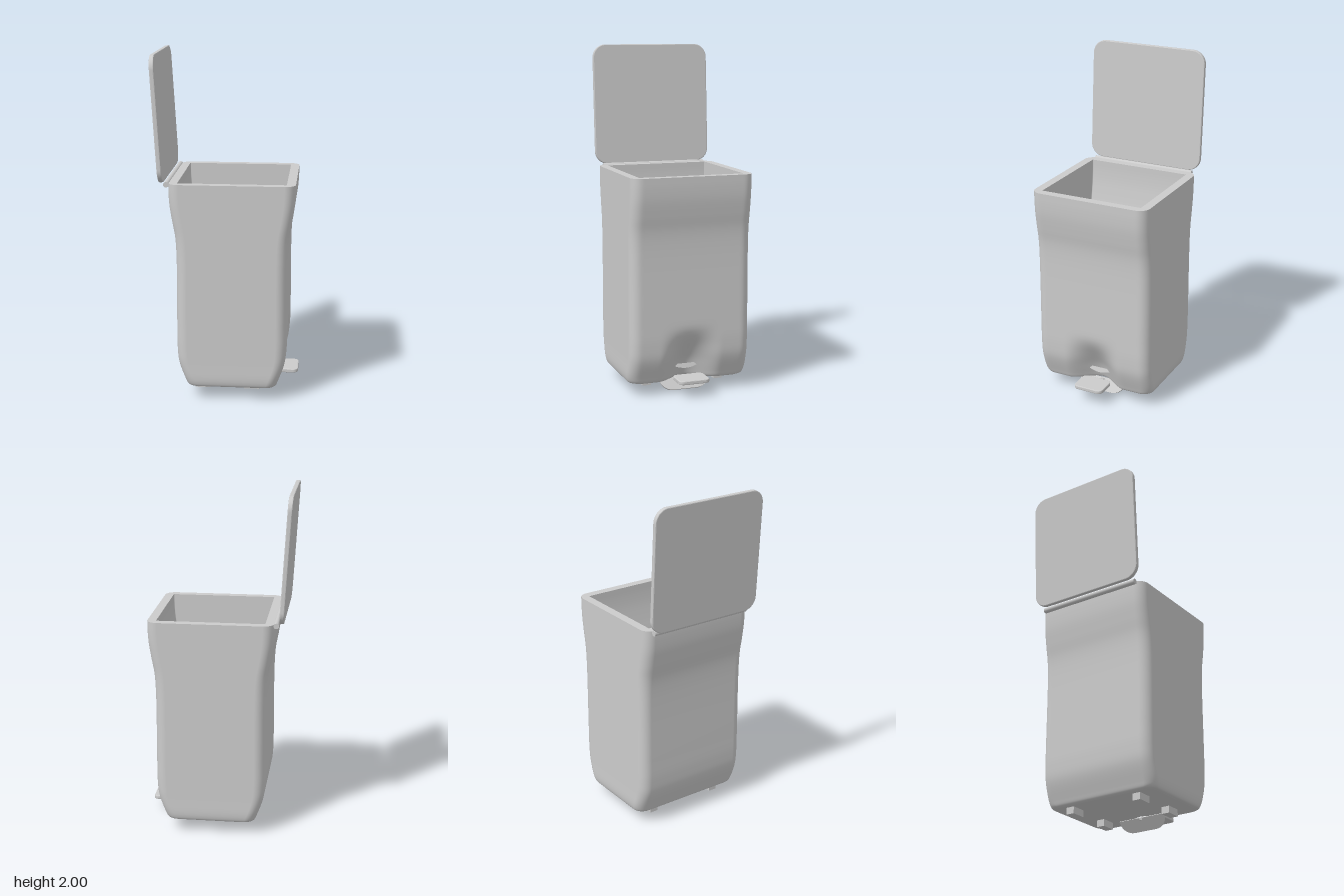
import * as THREE from 'three';

const material = new THREE.MeshStandardMaterial({ color: 0xcccccc, side: THREE.DoubleSide });
const CX = 0.037; // centre of the bin along x

function add(parent, name, geometry, x = 0, y = 0, z = 0) {
  const mesh = new THREE.Mesh(geometry, material);
  mesh.name = name;
  mesh.position.set(x, y, z);
  parent.add(mesh);
  return mesh;
}

// Depth of the foot recess in the +x wall
function recess(y, z, depth, halfWidth) {
  if (Math.abs(z) >= halfWidth) return 0;
  const across = Math.cos((z / halfWidth) * Math.PI / 2) ** 2;
  return depth * across * (1 - THREE.MathUtils.smoothstep(y, 0.17, 0.42));
}

// Rounded rectangle cross-section, with the +x side finely divided for the recess
function ring(hx, hz, y, r, depth, halfWidth) {
  const pts = [];
  const put = (x, z) => pts.push(new THREE.Vector3(
    CX + x - (x > 0 ? recess(y, z, depth, halfWidth) : 0), y, z));
  const sides = 48, arc = 8;
  for (let i = 1; i < sides; i++) put(hx, (hz - r) * (1 - 2 * i / sides));
  const corners = [[1, -1], [-1, -1], [-1, 1], [1, 1]];
  corners.forEach(([sx, sz], k) => {
    for (let i = 0; i <= arc; i++) {
      const a = (k + i / arc) * Math.PI / 2;
      put(sx * (hx - r) + r * Math.cos(a), sz * (hz - r) - r * Math.sin(a));
    }
  });
  return pts;
}

// Surface through a list of closed rings
function loft(rings) {
  const n = rings[0].length, index = [];
  for (let i = 0; i < rings.length - 1; i++) {
    for (let j = 0; j < n; j++) {
      const a = i * n + j, b = i * n + (j + 1) % n;
      index.push(a, b, b + n, a, b + n, a + n);
    }
  }
  const geometry = new THREE.BufferGeometry().setFromPoints(rings.flat());
  geometry.setIndex(index);
  geometry.computeVertexNormals();
  return geometry;
}

// Rings along a smooth profile of [half width x, half width z, y]
function profileRings(profile, r, depth, halfWidth) {
  const curve = new THREE.CatmullRomCurve3(profile.map((p) => new THREE.Vector3(...p)));
  return curve.getPoints((profile.length - 1) * 6)
    .map((p) => ring(p.x, p.y, p.z, r, depth, halfWidth));
}

// Flat plate with rounded corners and a fine bevel, centred on the origin
function plate(w, h, t, r, bevel = 0.005) {
  const x = w / 2 - bevel, y = h / 2 - bevel, q = Math.PI / 2;
  const shape = new THREE.Shape();
  [[1, 1], [-1, 1], [-1, -1], [1, -1]].forEach(([sx, sy], k) =>
    shape.absarc(sx * (x - r), sy * (y - r), r, k * q, (k + 1) * q, false));
  shape.closePath();
  return new THREE.ExtrudeGeometry(shape, {
    depth: t - 2 * bevel, bevelSize: bevel, bevelThickness: bevel, bevelSegments: 2, curveSegments: 10,
  }).translate(0, 0, bevel - t / 2);
}

export function createModel() {
  const group = new THREE.Group();

  // Bin body: outer wall, inner wall, rim, floor and base
  const body = new THREE.Group();
  body.name = 'body';
  group.add(body);
  const outer = profileRings([
    [0.245, 0.335, 0.075], [0.259, 0.352, 0.084], [0.272, 0.362, 0.115], [0.308, 0.363, 0.22],
    [0.317, 0.363, 0.31], [0.318, 0.363, 0.45], [0.318, 0.363, 0.85], [0.325, 0.363, 0.97],
    [0.341, 0.363, 1.06], [0.355, 0.363, 1.15], [0.36, 0.363, 1.22], [0.361, 0.363, 1.28],
  ], 0.062, 0.095, 0.19);
  const inner = profileRings([
    [0.31, 0.312, 1.28], [0.309, 0.312, 1.22], [0.304, 0.312, 1.15], [0.291, 0.312, 1.06],
    [0.276, 0.312, 0.97], [0.27, 0.312, 0.85], [0.27, 0.312, 0.45], [0.268, 0.312, 0.31],
    [0.26, 0.312, 0.22], [0.237, 0.312, 0.12],
  ], 0.004, 0.08, 0.21);
  const collapse = (r, y) => r.map(() => new THREE.Vector3(CX - 0.05, y, 0));
  const base = outer[0], floor = inner[inner.length - 1];
  add(body, 'outerWall', loft(outer));
  add(body, 'innerWall', loft(inner));
  add(body, 'rim', loft([outer[outer.length - 1], inner[0]]));
  add(body, 'floor', loft([floor, collapse(floor, 0.12)]));
  add(body, 'base', loft([collapse(base, 0.075), base]));

  // Open lid leaning back, with its hinge rod
  const lid = add(group, 'lid', plate(0.726, 0.722, 0.026, 0.075).rotateY(Math.PI / 2), -0.386, 1.64);
  lid.rotation.z = 0.06;
  add(group, 'hinge', new THREE.CylinderGeometry(0.016, 0.016, 0.645, 20).rotateX(Math.PI / 2), -0.335, 1.272);

  // Four feet
  for (const x of [-0.14, 0.15]) {
    for (const z of [-0.222, 0.222]) {
      add(group, 'foot', new THREE.BoxGeometry(0.09, 0.042, 0.05), x, 0.056, z);
    }
  }

  // Pedal, its arm, and the curved guard pieces in the recess
  const pedal = new THREE.Group();
  pedal.name = 'pedal';
  group.add(pedal);
  add(pedal, 'pedalPlate', plate(0.145, 0.186, 0.023, 0.025).rotateX(-Math.PI / 2), 0.345, 0.095);
  const arm = add(pedal, 'pedalArm', new THREE.BoxGeometry(0.12, 0.012, 0.02), 0.25, 0.075);
  arm.rotation.z = 0.2;

  const lip = new THREE.Shape();
  lip.moveTo(-0.15, 0.04);
  lip.bezierCurveTo(-0.15, -0.02, -0.11, -0.042, -0.07, -0.042);
  lip.lineTo(0.07, -0.042);
  lip.bezierCurveTo(0.11, -0.042, 0.15, -0.02, 0.15, 0.04);
  const guard = add(pedal, 'lowerGuard',
    new THREE.ExtrudeGeometry(lip, { depth: 0.01, bevelEnabled: false }).rotateY(Math.PI / 2), 0.217, 0.038);
  guard.rotation.z = 0.62;

  const blade = new THREE.Shape();
  blade.moveTo(-0.095, 0.012);
  blade.lineTo(0.095, 0.012);
  blade.quadraticCurveTo(0, -0.045, -0.095, 0.012);
  const slot = add(pedal, 'upperGuard',
    new THREE.ExtrudeGeometry(blade, { depth: 0.008, bevelEnabled: false }).rotateY(Math.PI / 2), 0.245, 0.15);
  slot.rotation.z = 0.3;

  return group;
}
